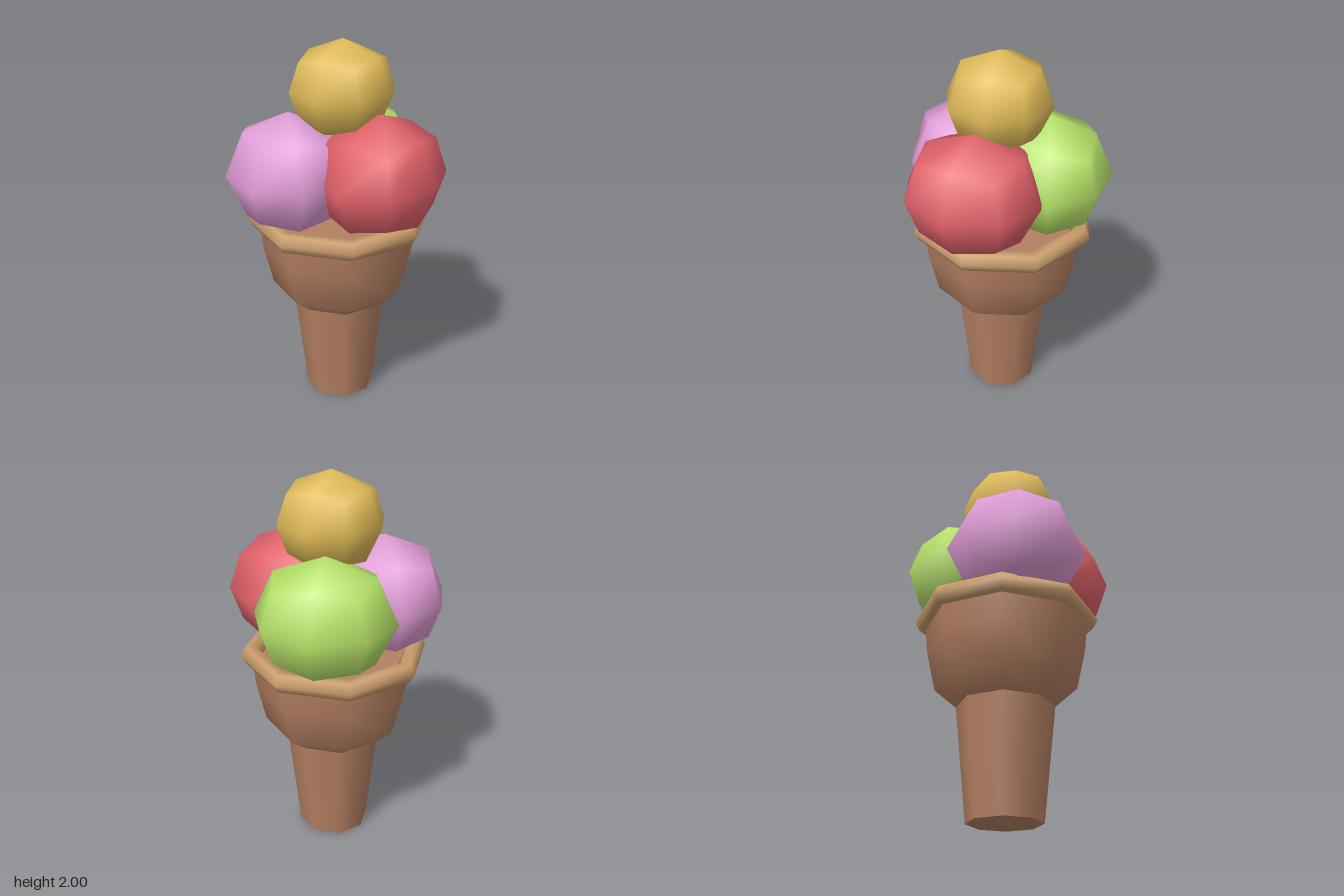
import * as THREE from 'three';
import { mergeVertices } from 'three/addons/utils/BufferGeometryUtils.js';

const SIDES = 8;
const CONE_X = -0.057, CONE_Z = -0.03;

function part(name, geometry, color, side = THREE.FrontSide) {
  const mesh = new THREE.Mesh(geometry, new THREE.MeshStandardMaterial({ color, side }));
  mesh.name = name;
  return mesh;
}

// Low-poly ball: a subdivided cube pushed out to a sphere
function ballGeometry() {
  let g = new THREE.BoxGeometry(2, 2, 2, 2, 2, 2);
  g.deleteAttribute('uv');
  g.deleteAttribute('normal');
  g = mergeVertices(g);
  const p = g.attributes.position, v = new THREE.Vector3();
  for (let i = 0; i < p.count; i++) {
    v.fromBufferAttribute(p, i).normalize();
    p.setXYZ(i, v.x, v.y, v.z);
  }
  return g;
}

function scoop(name, color, position, radii, turn) {
  const g = ballGeometry().scale(...radii);
  g.computeVertexNormals();
  const mesh = part(name, g, color);
  mesh.position.set(...position);
  mesh.rotation.y = THREE.MathUtils.degToRad(turn);
  return mesh;
}

function lathe(profile) {
  return new THREE.LatheGeometry(profile.map(([r, y]) => new THREE.Vector2(r, y)), SIDES);
}

function disc(radius, y, up) {
  return new THREE.CircleGeometry(radius, SIDES).rotateX(up ? -Math.PI / 2 : Math.PI / 2).translate(0, y, 0);
}

export function createModel() {
  const model = new THREE.Group();
  model.name = 'iceCreamCone';

  // Wafer cone: stem, flared cup, rim and closing discs
  const wafer = 0xb58062, rimColor = 0xc99d6c;
  const cone = new THREE.Group();
  cone.name = 'cone';
  cone.position.set(CONE_X, 0, CONE_Z);
  cone.add(
    part('stem', lathe([[0.19, 0], [0.252, 0.585]]), wafer),
    part('stemBase', disc(0.19, 0, false), wafer),
    part('cup', lathe([[0.252, 0.585], [0.365, 0.68], [0.412, 0.89], [0.428, 1.04]]), wafer),
    part('cupTop', disc(0.425, 1.03, true), wafer),
    part('rim', new THREE.TorusGeometry(0.433, 0.052, 6, SIDES).rotateX(Math.PI / 2).translate(0, 1.065, 0), rimColor),
  );
  model.add(cone);

  // Three wide scoops around the cup and a smaller one on top
  const wide = [0.358, 0.312, 0.324];
  model.add(
    scoop('redScoop', 0xe2626b, [0.22, 1.361, 0], wide, 90),
    scoop('pinkScoop', 0xe09cd6, [-0.197, 1.345, 0.2], wide, -40),
    scoop('greenScoop', 0xb5e268, [-0.152, 1.345, -0.237], wide, 22.6),
    scoop('yellowScoop', 0xe0bb58, [-0.028, 1.75, -0.021], [0.272, 0.25, 0.272], 8),
  );
  return model;
}
